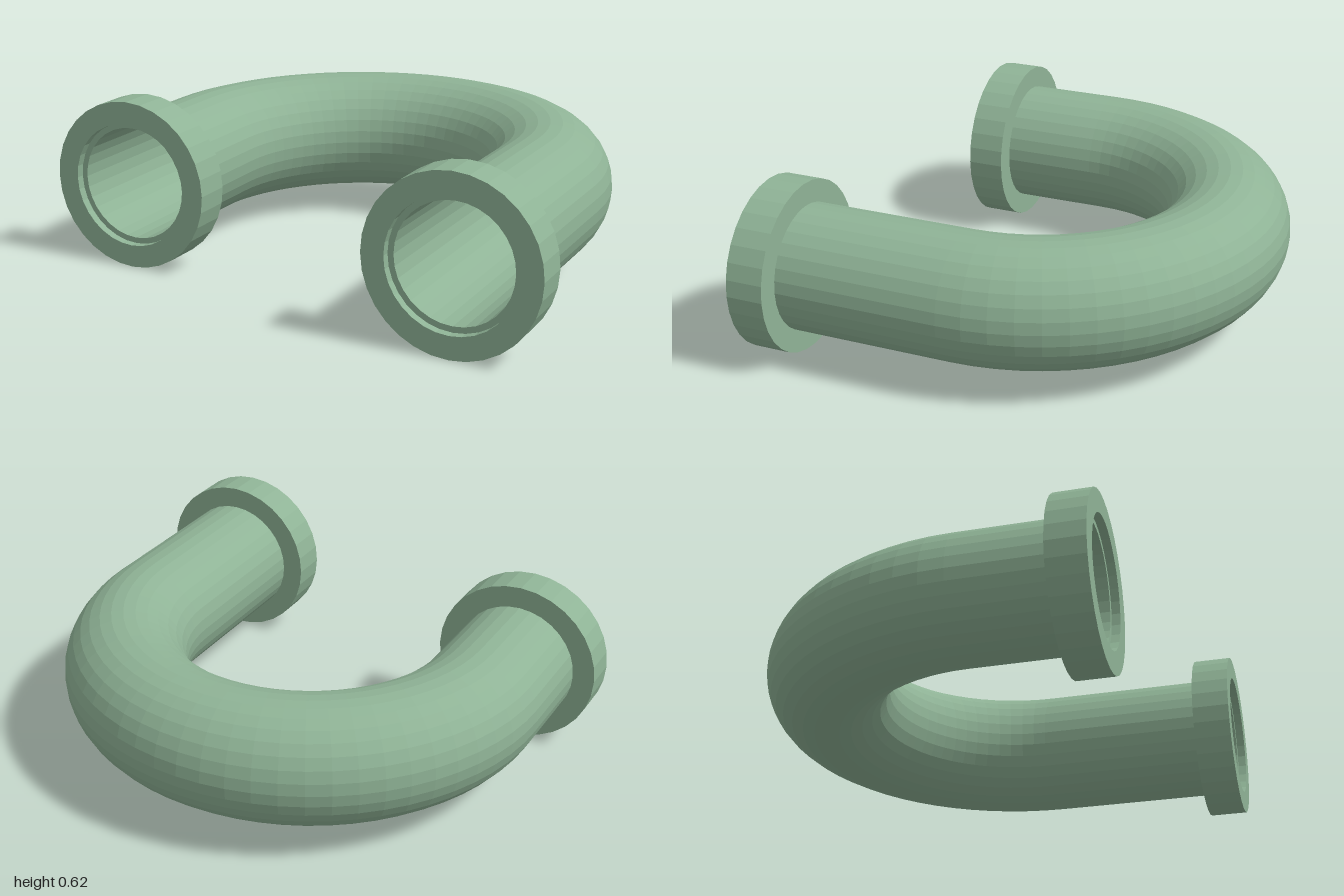
import * as THREE from 'three';

const SIDES = 32;        // facets around the pipe
const BEND = 0.688;      // centre-line radius of the U bend
const OUTER = 0.228;     // pipe outer radius
const BORE = 0.207;      // pipe inner radius
const RIM = 0.31;        // collar radius, also the height of the axis
const BEND_Z = 0.088;    // where the bend meets the straight ends
const COLLAR = 0.137;    // collar length
const RECESS = 0.03;     // the pipe stops this far inside the collar

export function createModel() {
  const group = new THREE.Group();
  const green = new THREE.MeshStandardMaterial({ color: 0x8fb396, flatShading: true });
  green.name = 'sageGreen';

  const add = (name, geometry, x, z) => {
    const mesh = new THREE.Mesh(geometry, green);
    mesh.name = name;
    mesh.position.set(x, RIM, z);
    group.add(mesh);
  };

  // Half-ring swept from a circle; direction -1 turns the faces inward
  const bend = (radius, direction) => {
    const circle = [];
    for (let i = 0; i <= SIDES; i++) {
      const a = direction * i / SIDES * Math.PI * 2;
      circle.push(new THREE.Vector2(BEND + radius * Math.cos(a), radius * Math.sin(a)));
    }
    return new THREE.LatheGeometry(circle, 32, Math.PI / 2, Math.PI);
  };

  // Profile of [radius, distance] pairs turned around the z axis
  const turned = (profile) => new THREE.LatheGeometry(
    profile.map(([r, d]) => new THREE.Vector2(r, d)), SIDES).rotateX(Math.PI / 2);

  add('bendOuterWall', bend(OUTER, 1), 0, BEND_Z);
  add('bendBore', bend(BORE, -1), 0, BEND_Z);

  // Straight ends with their collars, the left one longer
  for (const [side, x, end] of [['left', BEND, 0.827], ['right', -BEND, 0.573]]) {
    const length = end - BEND_Z - RECESS;
    add(side + 'Pipe', turned([[OUTER, 0], [OUTER, length], [BORE, length], [BORE, 0]]), x, BEND_Z);
    add(side + 'Collar', turned([
      [OUTER, 0], [RIM, 0], [RIM, COLLAR], [OUTER, COLLAR], [OUTER, 0],
    ]), x, end - COLLAR);
  }
  return group;
}
